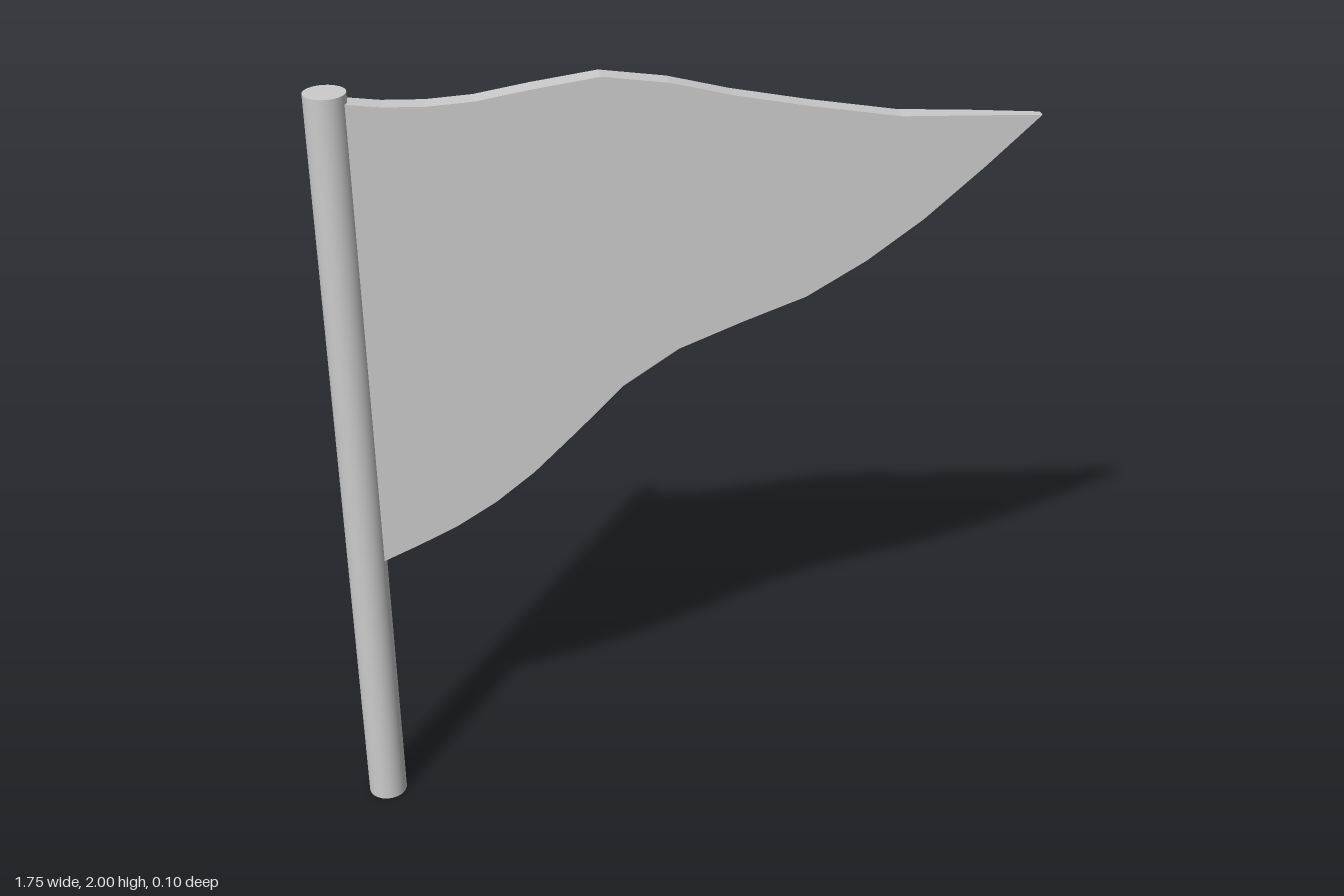
import * as THREE from 'three';

export function createModel() {
  const group = new THREE.Group();
  const material = new THREE.MeshStandardMaterial({ color: 0xcccccc });

  // Round upright pole
  const pole = new THREE.Mesh(new THREE.CylinderGeometry(0.05, 0.05, 1.995, 32), material);
  pole.name = 'pole';
  pole.position.set(-0.825, 0.9975, 0);
  group.add(pole);

  // Wavy pennant outline: upper edge out to the tip, lower edge back to the pole
  const upper = [
    [-0.79, 1.973], [-0.7, 1.96], [-0.6, 1.955], [-0.49, 1.96], [-0.36, 1.98], [-0.2, 2],
    [-0.04, 1.975], [0.11, 1.935], [0.3, 1.895], [0.52, 1.855], [0.7, 1.845], [0.87, 1.835],
  ];
  const lower = [
    [0.74, 1.715], [0.59, 1.585], [0.45, 1.485], [0.3, 1.4], [0.14, 1.345], [-0.02, 1.285],
    [-0.16, 1.195], [-0.27, 1.085], [-0.39, 0.97], [-0.49, 0.893], [-0.59, 0.833], [-0.69, 0.787], [-0.79, 0.745],
  ];
  const outline = new THREE.Shape([...upper, ...lower].map(([x, y]) => new THREE.Vector2(x, y)));
  const cloth = new THREE.ExtrudeGeometry(outline, { depth: 0.05, bevelEnabled: false });
  cloth.translate(0, 0, -0.025);

  // Thin the back of the cloth towards the tip
  const p = cloth.attributes.position;
  for (let i = 0; i < p.count; i++) {
    if (p.getZ(i) < 0) {
      const t = Math.max(0, (p.getX(i) - 0.58) / 0.29);
      p.setZ(i, -0.025 + 0.027 * t);
    }
  }
  cloth.computeVertexNormals();

  const flag = new THREE.Mesh(cloth, material);
  flag.name = 'flag';
  group.add(flag);

  return group;
}
